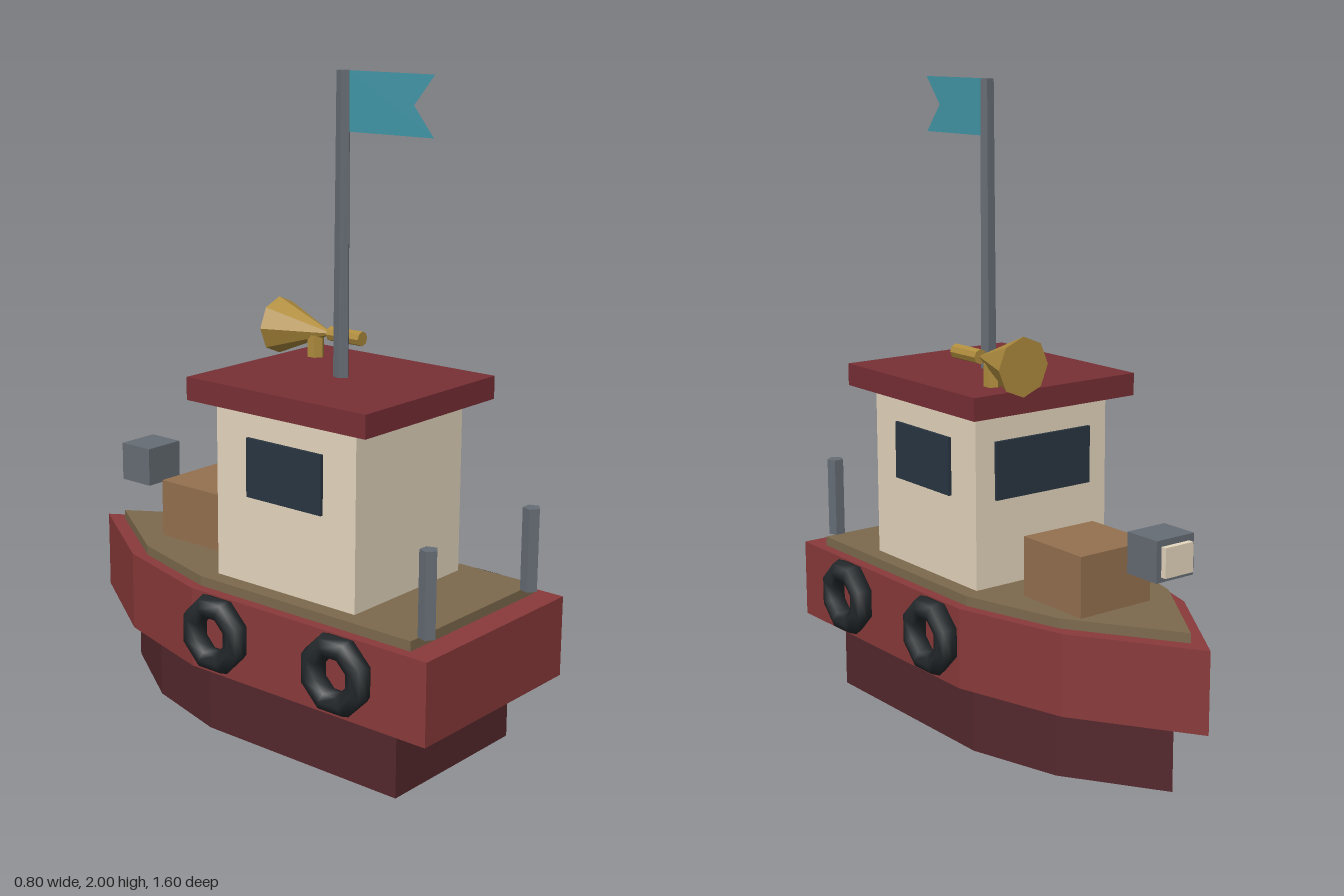
import * as THREE from 'three';

const mat = (color, extra = {}) =>
  new THREE.MeshStandardMaterial({ color, flatShading: true, ...extra });

export function createModel() {
  const boat = new THREE.Group();
  const red = mat(0x8a3a3a), keelRed = mat(0x54282d), wood = mat(0x7d6a4e);
  const cream = mat(0xe6d8bf), roofRed = mat(0x782f35), glass = mat(0x2a3642);
  const metal = mat(0x666d75), brass = mat(0xb08d3e), crateWood = mat(0x94714f);
  const rubber = mat(0x24292c, { flatShading: false });
  const teal = mat(0x4297a8, { side: THREE.DoubleSide });

  function add(name, geometry, material, x = 0, y = 0, z = 0, parent = boat) {
    const mesh = new THREE.Mesh(geometry, material);
    mesh.name = name;
    mesh.position.set(x, y, z);
    parent.add(mesh);
    return mesh;
  }

  // Box given by its lower and upper corners
  function box(name, material, [x0, y0, z0], [x1, y1, z1]) {
    return add(name, new THREE.BoxGeometry(x1 - x0, y1 - y0, z1 - z0), material,
      (x0 + x1) / 2, (y0 + y1) / 2, (z0 + z1) / 2);
  }

  // Hull layers: one pointed outline at three scales, bow towards -z
  const outline = [[0, -0.8], [0.235, -0.44], [0.337, -0.08], [0.337, 0.8],
    [-0.337, 0.8], [-0.337, -0.08], [-0.235, -0.44]];
  function layer(name, material, scale, bottom, top) {
    const shape = new THREE.Shape(outline.map(([x, z]) => new THREE.Vector2(x * scale, z * scale)));
    const geometry = new THREE.ExtrudeGeometry(shape, { depth: top - bottom, bevelEnabled: false });
    geometry.rotateX(Math.PI / 2);
    add(name, geometry, material, 0, top, 0);
  }
  layer('keel', keelRed, 0.82, 0, 0.22);
  layer('hull', red, 1, 0.22, 0.47);
  layer('deck', wood, 0.9, 0.47, 0.5);

  // Cabin with roof and windows on the bow and both sides
  box('cabin', cream, [-0.25, 0.5, -0.05], [0.25, 1.04, 0.48]);
  box('roof', roofRed, [-0.305, 1.04, -0.12], [0.305, 1.11, 0.555]);
  box('bowWindow', glass, [-0.18, 0.77, -0.06], [0.18, 0.95, -0.04]);
  box('leftWindow', glass, [0.24, 0.77, 0.075], [0.26, 0.95, 0.36]);
  box('rightWindow', glass, [-0.26, 0.77, 0.075], [-0.24, 0.95, 0.36]);

  // Mast and swallow-tailed flag
  add('mast', new THREE.CylinderGeometry(0.021, 0.025, 0.9, 5), metal, 0, 1.55, 0.22);
  const flag = new THREE.Shape([[-0.235, 2], [-0.54, 2], [-0.47, 1.914], [-0.54, 1.828], [-0.235, 1.828]]
    .map(([x, y]) => new THREE.Vector2(x, y)));
  add('flag', new THREE.ShapeGeometry(flag).rotateY(Math.PI / 2), teal);

  // Horn on the roof, mouth towards the bow
  const horn = new THREE.Group();
  horn.name = 'horn';
  horn.position.set(0.16, 1.19, 0);
  boat.add(horn);
  add('hornBell', new THREE.ConeGeometry(0.09, 0.22, 8).rotateX(Math.PI / 2), brass, 0, 0, -0.055, horn);
  add('hornPipe', new THREE.CylinderGeometry(0.023, 0.023, 0.125, 8).rotateX(Math.PI / 2), brass, 0, 0, 0.107, horn);
  add('hornStand', new THREE.CylinderGeometry(0.027, 0.027, 0.08, 6), brass, 0, -0.05, -0.015, horn);

  // Crate and searchlight on the foredeck
  box('crate', crateWood, [-0.1, 0.5, -0.437], [0.165, 0.684, -0.172]);
  box('lampHousing', metal, [-0.07, 0.64, -0.65], [0.07, 0.763, -0.527]);
  box('lampLens', cream, [-0.052, 0.655, -0.668], [0.052, 0.744, -0.64]);

  // Stern bollards and side tyres, mirrored
  for (const side of [1, -1]) {
    add('bollard', new THREE.CylinderGeometry(0.027, 0.027, 0.255, 5), metal, side * 0.25, 0.627, 0.737);
    for (const z of [0.503, 0.038]) {
      const tyre = new THREE.TorusGeometry(0.087, 0.037, 8, 8);
      tyre.rotateZ(Math.PI / 8).rotateY(Math.PI / 2);
      add('tyre', tyre, rubber, side * 0.361, 0.36, z);
    }
  }
  return boat;
}
